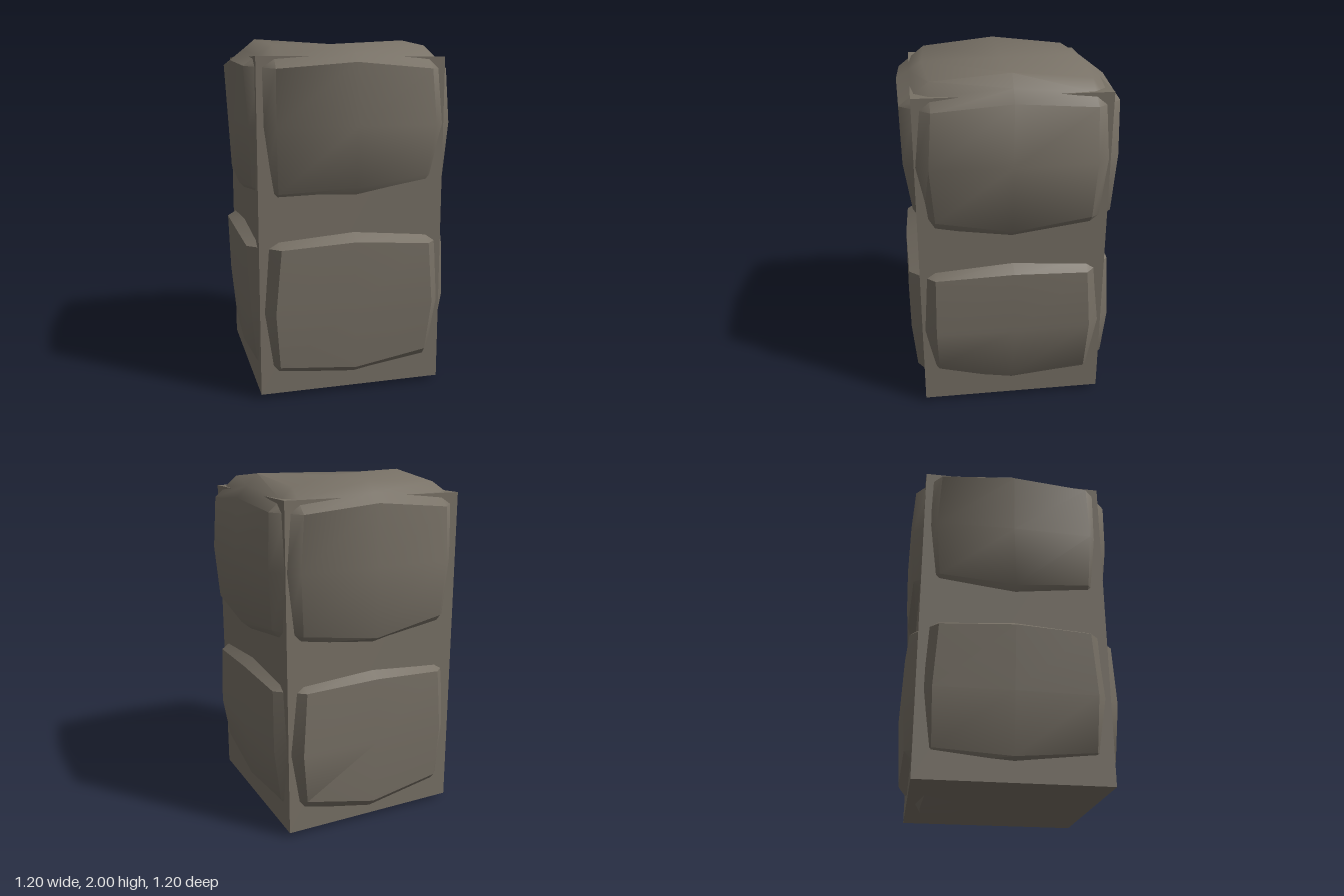
import * as THREE from 'three';
import { mergeVertices, toCreasedNormals } from 'three/addons/utils/BufferGeometryUtils.js';

// Small repeatable wobble in the range -1..1
function wobble(seed) {
  const s = Math.sin(seed * 127.1) * 43758.5453;
  return (s - Math.floor(s)) * 2 - 1;
}

// Rough-hewn block: a subdivided box whose six faces bulge and meet in chamfers.
// Each side lists its outward reach at the low, middle and high row, and the
// heights of its lower and upper rim from - to + across the face;
// top and bottom list heights as [z row][x column], both from - to +.
function stoneGeometry({ middle, sides, top, bottom, crease, seed }) {
  const faceNode = (axis, sign, [x, y, z]) => {
    if (axis === 1) {
      const height = (sign > 0 ? top : bottom)[z + 1][x + 1];
      const inset = x && z ? 0.43 : 0.455;
      return new THREE.Vector3(x * inset, height, z * inset);
    }
    const u = axis === 0 ? z : x;
    const side = sides[axis === 0 ? (sign > 0 ? 'left' : 'right') : (sign > 0 ? 'front' : 'back')];
    const id = seed + axis * 31 + sign * 7 + u * 3 + y * 11;
    const reach = side.reach[y + 1] - (u ? 0.012 : 0);
    const across = u * (y ? 0.43 : 0.447) + 0.01 * wobble(id);
    const height = [side.low[u + 1], middle, side.high[u + 1]][y + 1];
    return axis === 0
      ? new THREE.Vector3(sign * reach, height, across)
      : new THREE.Vector3(across, height, sign * reach);
  };

  let geo = new THREE.BoxGeometry(4, 4, 4, 4, 4, 4);
  geo.deleteAttribute('normal');
  geo.deleteAttribute('uv');
  geo = mergeVertices(geo);
  const pos = geo.attributes.position;
  for (let i = 0; i < pos.count; i++) {
    const raw = [pos.getX(i), pos.getY(i), pos.getZ(i)].map(Math.round);
    const c = raw.map((v) => THREE.MathUtils.clamp(v, -1, 1));
    const p = new THREE.Vector3();
    let n = 0;
    // Edge and corner points fall midway between the faces they join
    raw.forEach((v, axis) => {
      if (Math.abs(v) < 2) return;
      p.add(faceNode(axis, Math.sign(v), c));
      n++;
    });
    p.divideScalar(n);
    pos.setXYZ(i, p.x, p.y, p.z);
  }
  return toCreasedNormals(geo, crease);
}

export function createModel() {
  const group = new THREE.Group();
  group.name = 'stonePillar';
  const stone = new THREE.MeshStandardMaterial({ color: 0x787166 });
  stone.name = 'warm grey stone';

  const add = (name, geometry) => {
    const mesh = new THREE.Mesh(geometry, stone);
    mesh.name = name;
    group.add(mesh);
    return mesh;
  };

  // Square core showing at the corners and in the joint
  add('core', new THREE.BoxGeometry(1.055, 1.873, 1.055)).position.set(-0.008, 0.9625, -0.002);

  // Lower block, with a lip that dips under the back edge
  add('lowerStone', stoneGeometry({
    middle: 0.51,
    sides: {
      front: { reach: [0.575, 0.6, 0.595], low: [0.19, 0.155, 0.22], high: [0.87, 0.895, 0.86] },
      back: { reach: [0.58, 0.6, 0.585], low: [0.2, 0.13, 0.22], high: [0.87, 0.89, 0.87] },
      left: { reach: [0.545, 0.585, 0.575], low: [0.2, 0.17, 0.26], high: [0.86, 0.88, 0.86] },
      right: { reach: [0.555, 0.585, 0.6], low: [0.19, 0.16, 0.2], high: [0.87, 0.89, 0.87] },
    },
    top: [[0.96, 0.98, 0.96], [0.98, 0.98, 0.98], [0.96, 0.98, 0.96]],
    bottom: [[0.05, 0, 0.05], [0.06, 0.04, 0.06], [0.07, 0.055, 0.07]],
    crease: 0.62,
    seed: 3,
  }));

  // Upper block, widest near the top, with a slightly saddled crown
  add('upperStone', stoneGeometry({
    middle: 1.53,
    sides: {
      front: { reach: [0.555, 0.595, 0.6], low: [1.17, 1.19, 1.25], high: [1.835, 1.87, 1.835] },
      back: { reach: [0.58, 0.6, 0.595], low: [1.21, 1.13, 1.19], high: [1.83, 1.87, 1.83] },
      left: { reach: [0.575, 0.595, 0.58], low: [1.21, 1.15, 1.22], high: [1.835, 1.87, 1.835] },
      right: { reach: [0.565, 0.58, 0.6], low: [1.2, 1.16, 1.2], high: [1.85, 1.88, 1.85] },
    },
    top: [[1.955, 1.975, 1.955], [2, 1.975, 2], [1.96, 1.965, 1.96]],
    bottom: [[1.07, 1.05, 1.07], [1.05, 1.05, 1.05], [1.07, 1.05, 1.07]],
    crease: 0.85,
    seed: 8,
  }));

  return group;
}
